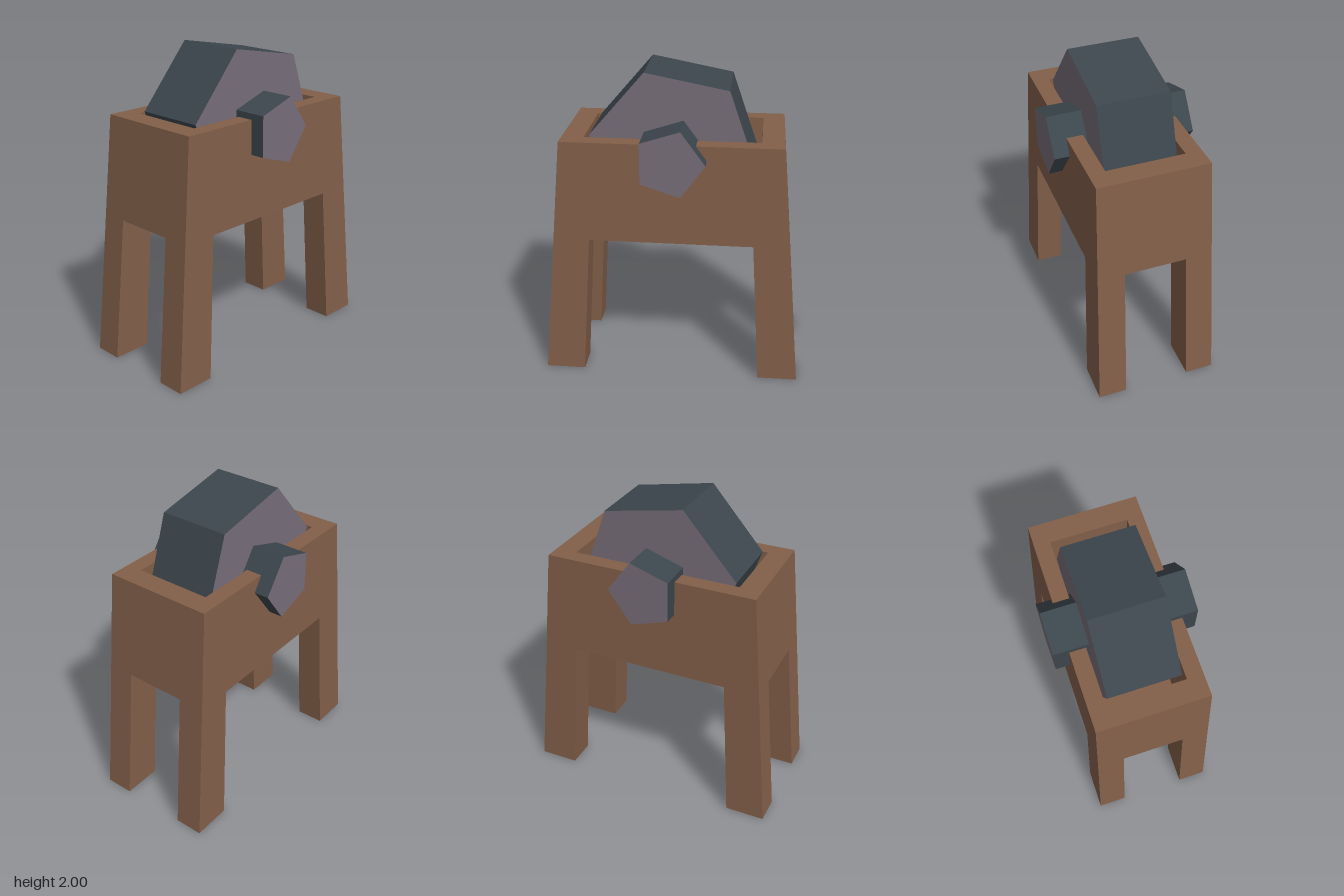
import * as THREE from 'three';

const wood = new THREE.MeshStandardMaterial({ color: 0x825f49 });
wood.name = 'brown wood';
const stoneFace = new THREE.MeshStandardMaterial({ color: 0x776d79 });
stoneFace.name = 'mauve grey stone';
const stoneRim = new THREE.MeshStandardMaterial({ color: 0x3c464d });
stoneRim.name = 'dark slate';

// Rectangular cross-section at height y, counter-clockwise seen from above
function rect(y, xa, xb, za, zb) {
  const x0 = Math.min(xa, xb), x1 = Math.max(xa, xb);
  const z0 = Math.min(za, zb), z1 = Math.max(za, zb);
  return [[x0, y, z0], [x0, y, z1], [x1, y, z1], [x1, y, z0]];
}

// Joins rectangular cross-sections with flat faces, optionally closing the last one
function loft(name, rings, capEnd) {
  const pos = [];
  const quad = (a, b, c, d) => pos.push(...a, ...b, ...c, ...a, ...c, ...d);
  quad(...[...rings[0]].reverse());
  for (let r = 0; r < rings.length - 1; r++) {
    const lo = rings[r], hi = rings[r + 1];
    for (let i = 0; i < 4; i++) {
      const j = (i + 1) % 4;
      quad(lo[i], lo[j], hi[j], hi[i]);
    }
  }
  if (capEnd) quad(...rings[rings.length - 1]);
  const geo = new THREE.BufferGeometry();
  geo.setAttribute('position', new THREE.Float32BufferAttribute(pos, 3));
  geo.computeVertexNormals();
  const mesh = new THREE.Mesh(geo, wood);
  mesh.name = name;
  return mesh;
}

// Flat-sided prism along z with one corner pointing at the given angle
function prism(name, radius, length, sides, angle) {
  const geo = new THREE.CylinderGeometry(radius, radius, length, sides)
    .rotateX(Math.PI / 2)
    .rotateZ(Math.PI / 2 + angle)
    .toNonIndexed();
  geo.computeVertexNormals();
  const mesh = new THREE.Mesh(geo, [stoneRim, stoneFace, stoneFace]);
  mesh.name = name;
  mesh.position.y = 1.5;
  return mesh;
}

export function createModel() {
  const model = new THREE.Group();
  model.name = 'grindstone';

  // Tapered trough: outer walls, rim, inner walls and floor
  model.add(loft('trough', [
    rect(0.945, -0.749, 0.749, -0.373, 0.373),
    rect(1.59, -0.69, 0.69, -0.355, 0.355),
    rect(1.59, -0.55, 0.55, -0.25, 0.25),
    rect(1.0, -0.55, 0.55, -0.25, 0.25),
  ], true));

  // Four splayed legs
  for (const sx of [-1, 1]) {
    for (const sz of [-1, 1]) {
      const name = (sz > 0 ? 'front' : 'back') + (sx > 0 ? 'Left' : 'Right') + 'Leg';
      model.add(loft(name, [
        rect(0, sx * 0.58, sx * 0.835, sz * 0.215, sz * 0.4),
        rect(0.945, sx * 0.52, sx * 0.749, sz * 0.2, sz * 0.373),
      ], false));
    }
  }

  // Six-sided wheel on a five-sided axle
  model.add(prism('grindingWheel', 0.53, 0.46, 6, THREE.MathUtils.degToRad(-10.8)));
  model.add(prism('axle', 0.22, 0.905, 5, 0));
  return model;
}
